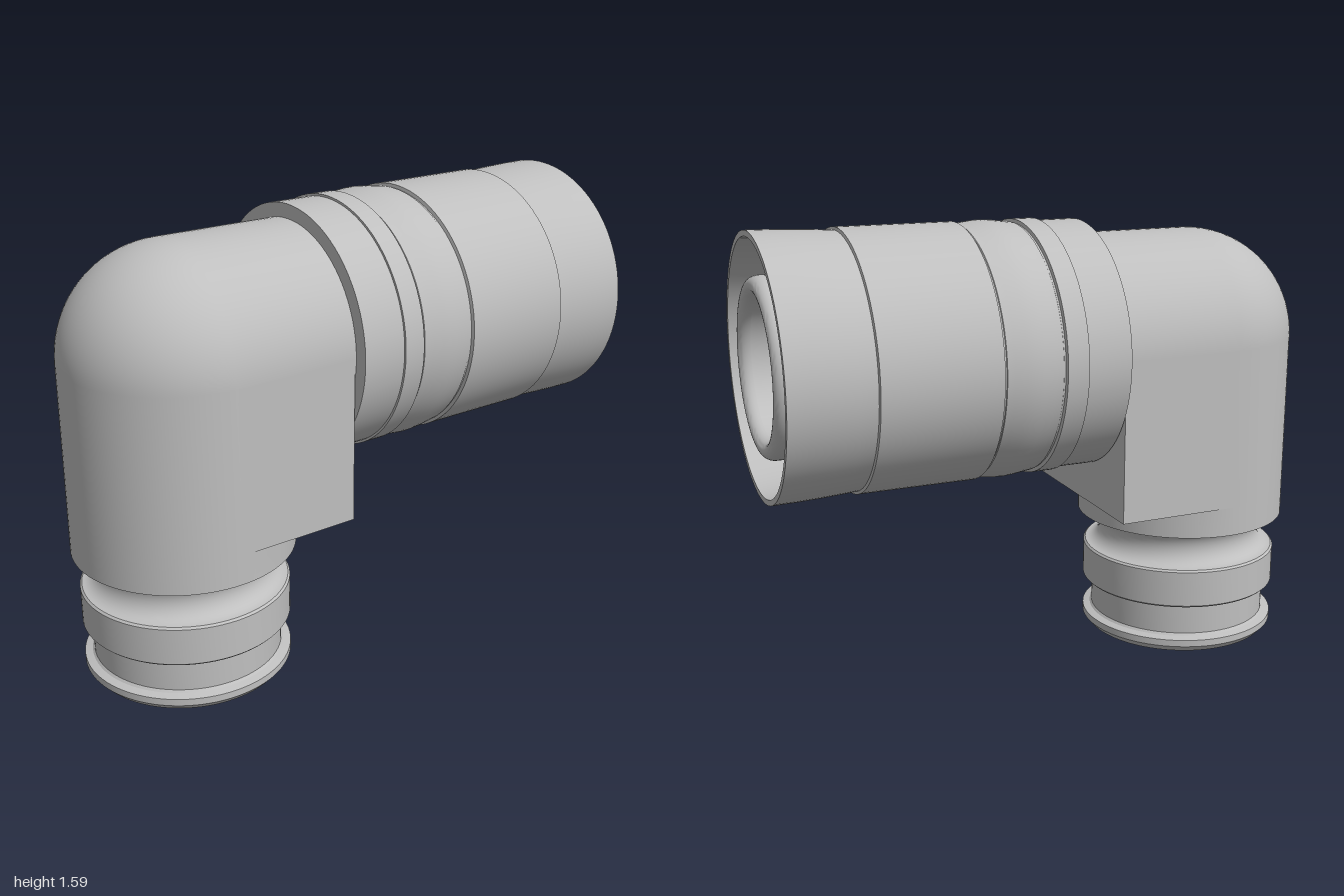
import * as THREE from 'three';
import { toCreasedNormals } from 'three/addons/utils/BufferGeometryUtils.js';

const CX = -0.61, CY = 1.14; // port axis x, coupling axis y
const R = 0.39, BORE = 0.24, SEG = 96;
const FACE_X = -0.165, FACE_Y = 0.565; // faces of the square block

// Revolved part from [radius, height] points
function turned(points) {
  const pts = points.map(([r, h]) => new THREE.Vector2(r, h));
  return toCreasedNormals(new THREE.LatheGeometry(pts, SEG), 0.5);
}

// Mitred pipe bend with a spherical outer corner, from y0 upwards and out to x1
function elbow(r, y0, x1, inward) {
  const steps = 20, rows = steps + 3, pos = [], idx = [];
  for (let i = 0; i < rows; i++) {
    const a = THREE.MathUtils.clamp((i - 1) / steps, 0, 1) * Math.PI / 2;
    for (let j = 0; j < SEG; j++) {
      const t = j / SEG * Math.PI * 2, u = r * Math.cos(t);
      let x = CX - u, y = CY + u;
      if (u > 0) {
        x = CX - u * Math.cos(a);
        y = CY + u * Math.sin(a);
      }
      if (i === 0) y = y0;
      if (i === rows - 1) x = x1;
      pos.push(x, y, r * Math.sin(t));
    }
  }
  for (let i = 0; i < rows - 1; i++) {
    for (let j = 0; j < SEG; j++) {
      const k = (j + 1) % SEG;
      const a = i * SEG + j, b = i * SEG + k, c = b + SEG, d = a + SEG;
      if (inward) idx.push(a, d, b, c, b, d);
      else idx.push(a, b, d, c, d, b);
    }
  }
  const g = new THREE.BufferGeometry();
  g.setAttribute('position', new THREE.Float32BufferAttribute(pos, 3));
  g.setIndex(idx);
  return toCreasedNormals(g, 0.5);
}

// Flat block face with a half-round notch where the pipe passes
function notchedFace(length) {
  const n = R - 0.01, s = new THREE.Shape();
  s.moveTo(-R, 0);
  s.lineTo(-R, -length);
  s.lineTo(R, -length);
  s.lineTo(R, 0);
  s.lineTo(n, 0);
  s.absarc(0, 0, n, 0, -Math.PI, true);
  return new THREE.ShapeGeometry(s, 48);
}

// Points on an arc, as [radius, height]
function arc(cr, ch, rr, rh, from, to, n = 12) {
  return Array.from({ length: n + 1 }, (_, i) => {
    const t = from + (to - from) * i / n;
    return [cr + rr * Math.cos(t), ch + rh * Math.sin(t)];
  });
}

export function createModel() {
  const model = new THREE.Group();
  const metal = new THREE.MeshStandardMaterial({ color: 0xbfbfbf });
  metal.name = 'light grey metal';
  const add = (name, geometry) => {
    const mesh = new THREE.Mesh(geometry, metal);
    mesh.name = name;
    model.add(mesh);
  };

  // Elbow body and its through bore
  add('elbowBody', elbow(R, 0.46, -0.16, false));
  add('elbowBore', elbow(BORE, 0.02, 0.96, true));

  // Square block in the inner corner
  const w = FACE_X - CX, h = CY - FACE_Y;
  add('blockEndFace', notchedFace(h).rotateY(Math.PI / 2).translate(FACE_X, CY, 0));
  add('blockUnderside', notchedFace(w).rotateX(Math.PI / 2).rotateY(-Math.PI / 2).translate(CX, FACE_Y, 0));
  for (const side of [1, -1]) {
    const g = new THREE.PlaneGeometry(w, h);
    if (side < 0) g.rotateY(Math.PI);
    add(side > 0 ? 'blockFrontSide' : 'blockBackSide',
      g.translate(CX + w / 2, FACE_Y + h / 2, side * R));
  }

  // Lower port: chamfered rim, seal groove, land and rounded neck
  add('lowerPort', turned([
    [BORE, 0.02], [0.25, 0], [0.345, 0], [0.367, 0.025], [0.367, 0.05], [0.34, 0.057],
    [0.333, 0.065], [0.333, 0.175], [0.338, 0.18], [0.36, 0.18], [0.367, 0.187],
    [0.367, 0.318], [0.36, 0.325],
    ...arc(0.36, 0.3925, 0.06, 0.0675, Math.PI * 1.5, Math.PI * 0.5, 16),
    [0.385, 0.46], [0.39, 0.465],
  ]).translate(CX, 0, 0));

  // Coupling sleeve: collar, band, bulged ring, grip, flared end, socket and spigot
  add('couplingSleeve', turned([
    [0.37, -0.16], [0.44, -0.16], [0.44, 0], [0.448, 0], [0.448, 0.077],
    [0.436, 0.08], [0.436, 0.086], [0.439, 0.088],
    [0.443, 0.12], [0.448, 0.16], [0.45, 0.19], [0.448, 0.22], [0.443, 0.26], [0.439, 0.286],
    [0.436, 0.288], [0.436, 0.294], [0.448, 0.297], [0.448, 0.708],
    [0.438, 0.711], [0.442, 0.77], [0.446, 0.84], [0.449, 0.92], [0.45, 1],
    [0.43, 1], [0.397, 0.7], [0.305, 0.7],
    ...arc(0.2725, 0.96, 0.0325, 0.04, 0, Math.PI, 14),
  ]).rotateZ(-Math.PI / 2).translate(0, CY, 0));

  return model;
}
